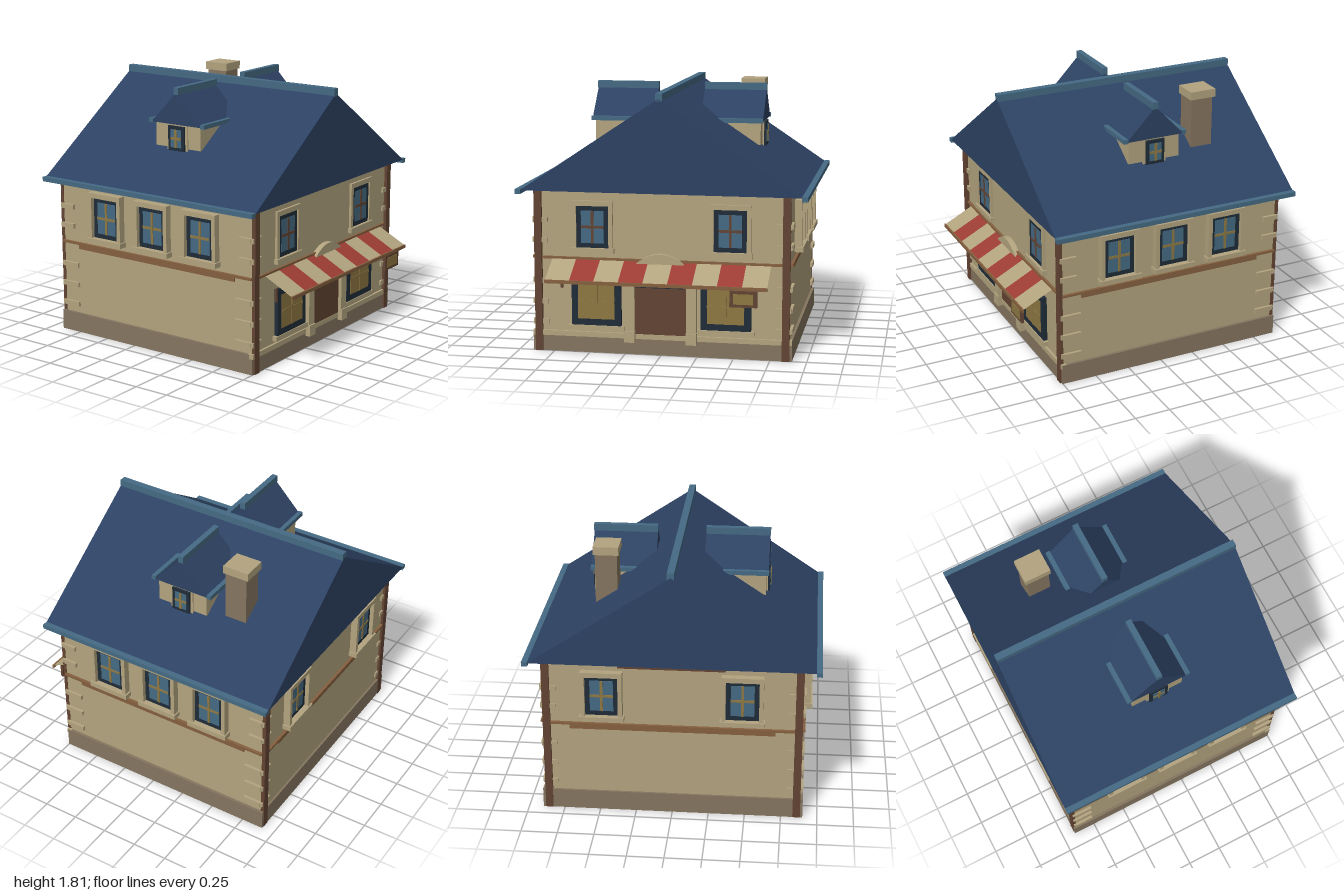
import * as THREE from 'three';

const mat = (name, color, side = THREE.FrontSide) => {
  const m = new THREE.MeshStandardMaterial({ color, side });
  m.name = name;
  return m;
};

export function createModel() {
  const tan = mat('plaster', 0xb3a47f, THREE.DoubleSide);
  const stone = mat('stone', 0x857560);
  const darkWood = mat('darkWood', 0x634433);
  const wood = mat('wood', 0x85603f);
  const navy = mat('roofNavy', 0x2d4263);
  const teal = mat('trimTeal', 0x456a83);
  const frameDark = mat('frameDark', 0x1f2c38);
  const gold = mat('gold', 0x8e7843);
  const red = mat('awningRed', 0x9c3c34, THREE.DoubleSide);

  const model = new THREE.Group();
  model.name = 'shopHouse';

  const add = (parent, name, geometry, material) => {
    const mesh = new THREE.Mesh(geometry, material);
    mesh.name = name;
    parent.add(mesh);
    return mesh;
  };
  // Box given by its min and max on each axis
  const box = (parent, name, material, x0, x1, y0, y1, z0, z1) => {
    const mesh = add(parent, name, new THREE.BoxGeometry(x1 - x0, y1 - y0, z1 - z0), material);
    mesh.position.set((x0 + x1) / 2, (y0 + y1) / 2, (z0 + z1) / 2);
    return mesh;
  };
  // Triangular prism along z
  const prism = (halfWidth, y0, y1, z0, z1) => {
    const s = new THREE.Shape();
    s.moveTo(-halfWidth, y0);
    s.lineTo(halfWidth, y0);
    s.lineTo(0, y1);
    s.closePath();
    return new THREE.ExtrudeGeometry(s, { depth: z1 - z0, bevelEnabled: false }).translate(0, 0, z0);
  };

  // Pane, dark frame and cross bars, facing +z and standing on the local origin
  const casement = (parent, w, h, depth, rim, glass, bars) => {
    box(parent, 'windowFrame', frameDark, -w / 2, w / 2, 0, h, -0.02, depth);
    box(parent, 'windowGlass', glass, -w / 2 + rim, w / 2 - rim, rim, h - rim, depth, depth + 0.003);
    box(parent, 'windowBarUpright', bars, -0.009, 0.009, rim, h - rim, depth, depth + 0.008);
    box(parent, 'windowBarLevel', bars, -w / 2 + rim, w / 2 - rim, h / 2 - 0.009, h / 2 + 0.009, depth, depth + 0.007);
  };
  const place = (name, x, y, z, turn) => {
    const g = new THREE.Group();
    g.name = name;
    g.position.set(x, y, z);
    g.rotation.y = turn;
    model.add(g);
    return g;
  };
  // Upper window with surround and sill
  const upperWindow = (name, x, y, z, turn, depth, bars) => {
    const g = place(name, x, y, z, turn);
    const w = 0.225, h = 0.29;
    for (const s of [-1, 1])
      box(g, 'windowJamb', tan, s * 0.127 - 0.0145, s * 0.127 + 0.0145, 0, h, -0.02, depth);
    box(g, 'windowHead', tan, -0.142, 0.142, h, h + 0.035, -0.02, depth);
    box(g, 'windowSill', tan, -0.152, 0.152, -0.035, 0, -0.02, depth + 0.012);
    casement(g, w, h, depth * 0.4, 0.033, teal, bars);
  };

  // Walls and base
  box(model, 'walls', tan, -0.88, 0.88, 0.1, 1.13, -0.895, 0.74);
  box(model, 'plinth', stone, -0.9, 0.9, 0, 0.14, -0.91, 0.752);
  box(model, 'plinthCap', tan, -0.9, 0.9, 0.11, 0.145, 0.72, 0.758);

  // Corner posts and quoins
  for (const sx of [-1, 1]) {
    for (const [zMid, sz] of [[0.75, 1], [-0.9, -1]]) {
      const post = box(model, 'cornerPost', darkWood, -0.026, 0.026, 0, 1.13, -0.013, 0.013);
      post.position.x = sx * 0.857;
      post.position.z = zMid;
      [0.205, 0.35, 0.495, 0.78, 0.92].forEach((y, i) => {
        const len = i < 3 ? 0.13 : 0.1;
        const side = add(model, 'sideQuoin', new THREE.BoxGeometry(0.05, 0.034, len), tan);
        side.position.set(sx * 0.875, y, zMid - sz * (0.012 + len / 2));
        const front = add(model, 'faceQuoin', new THREE.BoxGeometry(0.105, 0.034, 0.03), tan);
        front.position.set(sx * 0.842, y, zMid - sz * 0.01);
      });
    }
    // Floor band on the sides
    box(model, 'sideBandCap', wood, sx * 0.885 - 0.015, sx * 0.885 + 0.015, 0.652, 0.668, -0.89, 0.74);
    box(model, 'sideBand', wood, sx * 0.88 - 0.012, sx * 0.88 + 0.012, 0.62, 0.653, -0.75, 0.6);
  }
  box(model, 'frontBand', wood, -0.83, 0.83, 0.652, 0.668, 0.73, 0.758);
  box(model, 'backBandCap', wood, -0.83, 0.83, 0.652, 0.668, -0.915, -0.88);
  box(model, 'backBand', wood, -0.7, 0.7, 0.62, 0.653, -0.907, -0.88);
  box(model, 'backEaveBeam', darkWood, -0.36, 0.36, 1.1, 1.13, -0.94, -0.89);

  // Upper windows on all four sides
  for (const s of [-1, 1]) {
    upperWindow('frontUpperWindow', s * 0.475, 0.735, 0.74, 0, 0.018, darkWood);
    upperWindow('backUpperWindow', s * 0.475, 0.735, -0.895, Math.PI, 0.05, gold);
    for (const z of [0.33, -0.075, -0.48])
      upperWindow('sideUpperWindow', s * 0.88, 0.735, z, s * Math.PI / 2, 0.05, gold);
  }

  // Shop windows
  for (const s of [-1, 1]) {
    const g = place('shopWindow', s * 0.448, 0.197, 0.74, 0);
    casement(g, 0.345, 0.328, 0.028, 0.045, gold, gold);
    box(g, 'shopSill', tan, -0.195, 0.195, -0.033, 0, -0.02, 0.035);
    // Door columns
    box(model, 'doorColumn', tan, s * 0.213 - 0.034, s * 0.213 + 0.034, 0.09, 0.55, 0.73, 0.78);
    box(model, 'columnBase', tan, s * 0.213 - 0.037, s * 0.213 + 0.037, 0.09, 0.17, 0.73, 0.79);
    box(model, 'columnCapital', tan, s * 0.213 - 0.04, s * 0.213 + 0.04, 0.48, 0.55, 0.73, 0.785);
  }
  box(model, 'door', darkWood, -0.18, 0.18, 0.145, 0.472, 0.72, 0.755);
  box(model, 'doorTransom', frameDark, -0.18, 0.18, 0.472, 0.56, 0.72, 0.76);

  // Arched hood above the door
  const arch = new THREE.Shape();
  arch.moveTo(-0.17, 0.64);
  arch.lineTo(0.17, 0.64);
  arch.quadraticCurveTo(0, 0.78, -0.17, 0.64);
  add(model, 'doorArch', new THREE.ExtrudeGeometry(arch, { depth: 0.045, bevelEnabled: false, curveSegments: 14 }), tan).position.z = 0.735;

  // Striped awning with front rail
  const stripe = 1.51 / 9, drop = 0.11, reach = 0.215;
  for (let i = 0; i < 9; i++) {
    const m = add(model, 'awningStripe', new THREE.PlaneGeometry(stripe, Math.hypot(drop, reach)), i % 2 ? red : tan);
    m.rotation.x = -Math.atan2(reach, drop);
    m.position.set(-0.757 + stripe * (i + 0.5), 0.6, 0.862);
  }
  box(model, 'awningRail', wood, -0.76, 0.753, 0.527, 0.55, 0.962, 0.974);
  box(model, 'awningBracket', darkWood, -0.69, -0.672, 0.46, 0.555, 0.79, 0.803);

  // Hanging sign
  box(model, 'signBoard', darkWood, 0.5, 0.685, 0.41, 0.52, 0.935, 0.955);
  box(model, 'signFace', gold, 0.525, 0.66, 0.43, 0.5, 0.953, 0.96);
  box(model, 'signBack', gold, 0.525, 0.66, 0.43, 0.5, 0.93, 0.937);

  // Main roof, ridge and eaves
  add(model, 'mainRoof', prism(0.965, 1.13, 1.772, -0.975, 0.818), navy);
  box(model, 'roofRidge', teal, -0.024, 0.024, 1.75, 1.805, -0.975, 0.818);
  for (const s of [-1, 1])
    box(model, 'roofEave', teal, s * 0.98 - 0.02, s * 0.98 + 0.02, 1.105, 1.137, -0.975, 0.818);

  // Dormers, built facing +z and turned to each side
  for (const s of [-1, 1]) {
    const g = place('dormer', 0, 0, -0.08, s * Math.PI / 2);
    box(g, 'dormerWalls', tan, -0.19, 0.19, 1.385, 1.545, 0.2, 0.595);
    add(g, 'dormerRoof', prism(0.215, 1.55, 1.775, 0.168, 0.613), navy);
    box(g, 'dormerRidge', teal, -0.02, 0.02, 1.758, 1.807, 0.168, 0.616);
    for (const e of [-1, 1])
      box(g, 'dormerEave', teal, e * 0.22 - 0.016, e * 0.22 + 0.016, 1.543, 1.573, 0.2, 0.616);
    box(g, 'dormerSurround', tan, -0.086, 0.086, 1.37, 1.55, 0.5, 0.605);
    const w = new THREE.Group();
    w.name = 'dormerWindow';
    w.position.set(0, 1.368, 0.6);
    g.add(w);
    casement(w, 0.135, 0.172, 0.02, 0.023, teal, gold);
  }

  // Chimney
  box(model, 'chimneyShaft', stone, 0.4, 0.55, 1.3, 1.77, -0.55, -0.39);
  box(model, 'chimneyCap', tan, 0.388, 0.562, 1.755, 1.812, -0.567, -0.378);

  return model;
}
